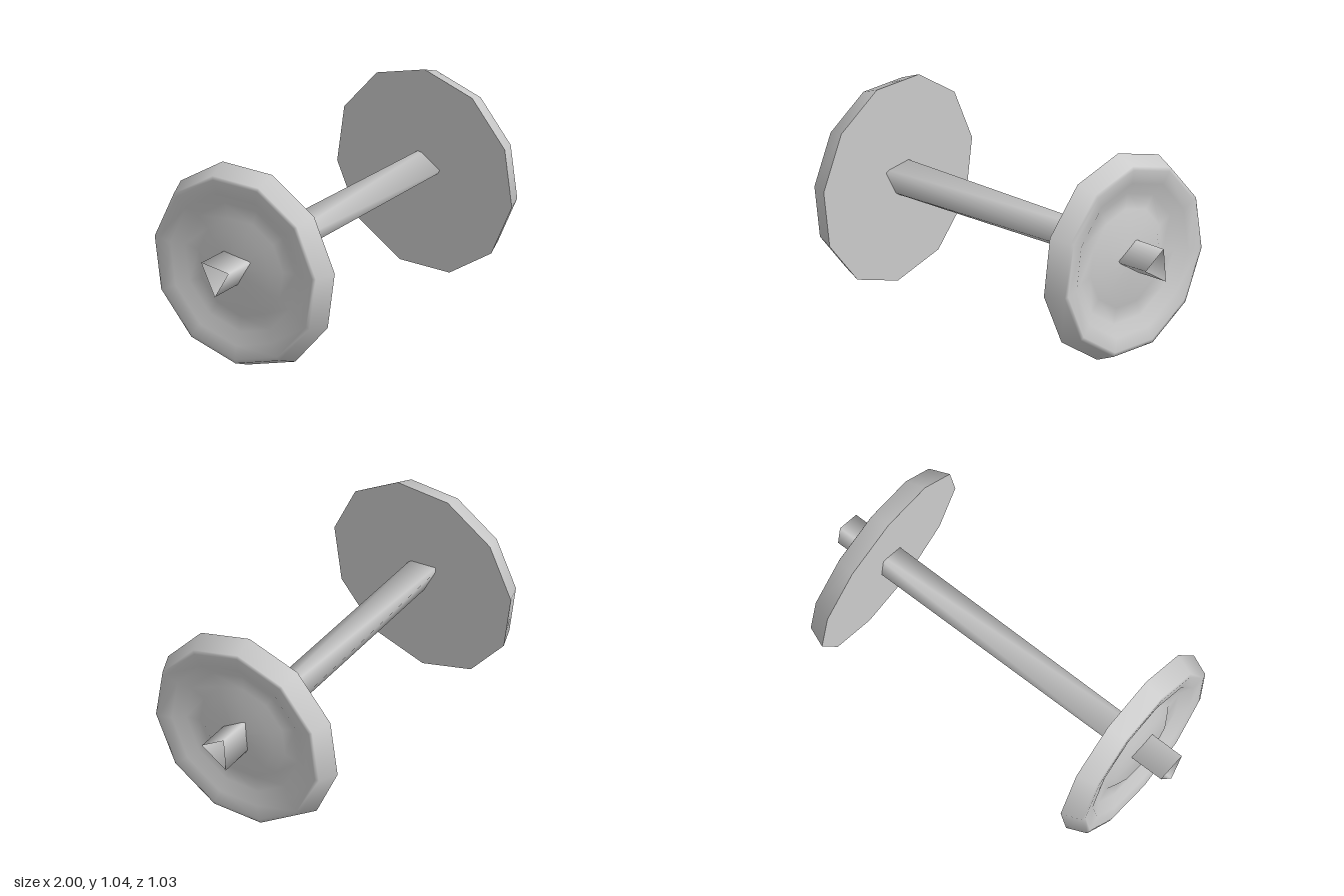
import * as THREE from 'three';

const AXIS_Y = 0.52;
const SIDES = 11;

// Spin a (radius, x) profile around the axle, one corner pointing up
function spin(profile, material) {
  const points = profile.map(([r, x]) => new THREE.Vector2(r, x));
  const geometry = new THREE.LatheGeometry(points, SIDES, -Math.PI / 2);
  geometry.rotateZ(-Math.PI / 2);
  return new THREE.Mesh(geometry, material);
}

function createWheel(name, material) {
  const wheel = new THREE.Group();
  wheel.name = name;

  // Flat inner face
  const back = spin([[0, 0.73], [0.52, 0.73]], material);
  back.name = 'wheelBack';

  // Flange, tread, raised rim, dished web and hub
  const face = spin([
    [0.52, 0.73], [0.48, 0.83], [0.46, 0.835], [0.39, 0.825],
    [0.33, 0.79], [0.25, 0.785], [0.2, 0.815], [0, 0.825],
  ], material);
  face.name = 'wheelFace';

  wheel.add(back, face);
  wheel.position.y = AXIS_Y;
  return wheel;
}

// Open, slightly twisted three-sided tube with smooth shading
function createAxle(material) {
  const leftEnd = [[0.53, 0.09], [0.44, -0.05], [0.61, -0.035]]; // [y, z] at x = 1
  const rightEnd = [[0.58, 0.08], [0.44, 0], [0.6, -0.08]]; // [y, z] at x = -1
  const positions = [];
  const indices = [];
  for (let i = 0; i < 3; i++) {
    positions.push(-1, ...rightEnd[i], 1, ...leftEnd[i]);
    const p = i * 2;
    const q = ((i + 1) % 3) * 2;
    indices.push(p + 1, p, q, p + 1, q, q + 1);
  }
  const geometry = new THREE.BufferGeometry();
  geometry.setAttribute('position', new THREE.Float32BufferAttribute(positions, 3));
  geometry.setIndex(indices);
  geometry.computeVertexNormals();
  const axle = new THREE.Mesh(geometry, material);
  axle.name = 'axle';
  return axle;
}

export function createModel() {
  const material = new THREE.MeshStandardMaterial({ color: 0xcccccc, side: THREE.DoubleSide });
  const model = new THREE.Group();
  model.name = 'wheelset';

  const leftWheel = createWheel('leftWheel', material);
  const rightWheel = createWheel('rightWheel', material);
  rightWheel.rotation.z = Math.PI; // half turn puts it on the other end, corner down

  model.add(createAxle(material), leftWheel, rightWheel);
  return model;
}
